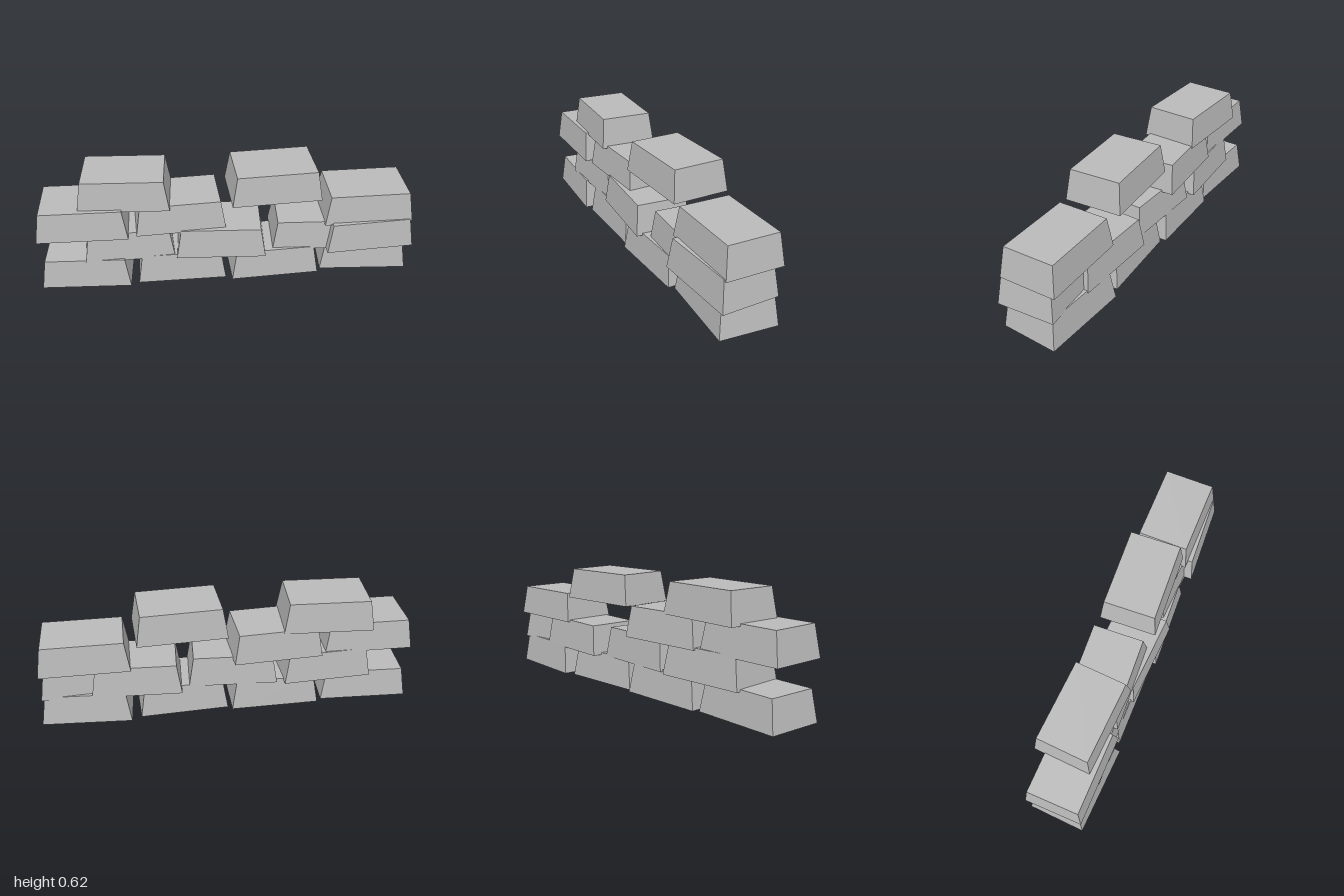
import * as THREE from 'three';

const LENGTH = 0.472, DEPTH = 0.305, HEIGHT = 0.163, TAPER = 0.89;

// Base height of each course, then its bricks as [x, z, turn about y]
const courses = [
  { y: 0, bricks: [[-0.757, 0.013, -0.045], [-0.252, 0, 0.012], [0.247, 0.008, 0.05], [0.752, -0.016, -0.06]] },
  { y: 0.152, bricks: [[-0.528, -0.008, 0.05], [-0.032, 0.014, -0.055], [0.482, -0.018, -0.045], [0.758, 0.016, 0.06]] },
  { y: 0.304, bricks: [[-0.757, 0.014, -0.01], [-0.254, -0.018, 0.055], [0.75, -0.015, 0.008]] },
  { y: 0.455, bricks: [[-0.53, -0.016, -0.05], [0.248, -0.016, 0.055]] },
];

// Block standing on y = 0 whose top is narrower than its base
function taperedBrick() {
  const geometry = new THREE.BoxGeometry(LENGTH, HEIGHT, DEPTH);
  geometry.translate(0, HEIGHT / 2, 0);
  const p = geometry.attributes.position;
  for (let i = 0; i < p.count; i++) {
    if (p.getY(i) > HEIGHT / 2) {
      p.setX(i, p.getX(i) * TAPER);
      p.setZ(i, p.getZ(i) * TAPER);
    }
  }
  geometry.computeVertexNormals();
  return geometry;
}

export function createModel() {
  const wall = new THREE.Group();
  wall.name = 'brickWall';
  const stone = new THREE.MeshStandardMaterial({ color: 0xbababa });
  stone.name = 'grey stone';
  const geometry = taperedBrick();

  // Staggered courses of slightly turned bricks
  courses.forEach(({ y, bricks }, row) => {
    const course = new THREE.Group();
    course.name = `course${row + 1}`;
    course.position.y = y;
    bricks.forEach(([x, z, turn], i) => {
      const brick = new THREE.Mesh(geometry, stone);
      brick.name = `brick${row + 1}_${i + 1}`;
      brick.position.set(x, 0, z);
      brick.rotation.y = turn;
      course.add(brick);
    });
    wall.add(course);
  });
  return wall;
}
